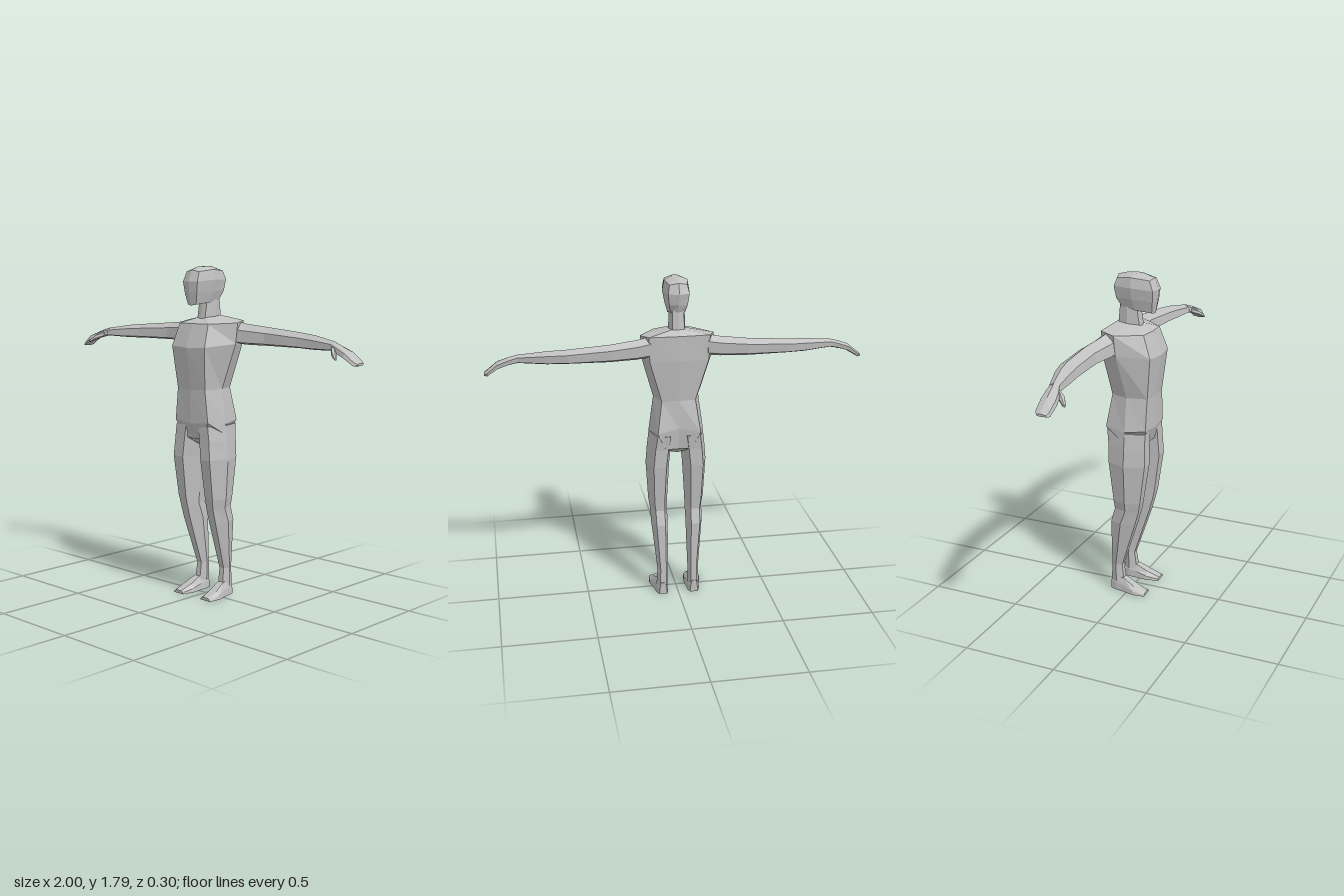
import * as THREE from 'three';

// Skin a list of equal-length point rings, with fan caps at both ends, faceted.
function loft(rings) {
  const tris = [];
  const n = rings[0].length;
  for (let i = 0; i < rings.length - 1; i++) {
    for (let j = 0; j < n; j++) {
      const k = (j + 1) % n;
      const a = rings[i][j], b = rings[i][k], c = rings[i + 1][k], d = rings[i + 1][j];
      tris.push([a, b, c], [a, c, d]);
    }
  }
  const cap = (ring, flip) => {
    const mid = [0, 1, 2].map(c => ring.reduce((s, p) => s + p[c], 0) / n);
    ring.forEach((p, j) => {
      const q = ring[(j + 1) % n];
      tris.push(flip ? [mid, q, p] : [mid, p, q]);
    });
  };
  cap(rings[0], true);
  cap(rings[rings.length - 1], false);

  // Signed volume tells whether the faces point inward
  const volume = tris.reduce((s, [a, b, c]) => s
    + a[0] * (b[1] * c[2] - b[2] * c[1])
    + a[1] * (b[2] * c[0] - b[0] * c[2])
    + a[2] * (b[0] * c[1] - b[1] * c[0]), 0);
  if (volume < 0) tris.forEach(t => t.reverse());

  const geo = new THREE.BufferGeometry();
  geo.setAttribute('position', new THREE.Float32BufferAttribute(tris.flat(2), 3));
  geo.computeVertexNormals();
  return geo;
}

// Complete a half ring (front centre to back centre) by mirroring in x
function mirrorRing(half) {
  const other = half.slice(1, -1).reverse().map(([x, y, z]) => [-x, y, z]);
  return [...half, ...other];
}

// Horizontal six-sided leg section
function legRing([y, front, back, inner, outer, mid]) {
  const inset = (outer - inner) * 0.24;
  return [
    [outer - inset, y, front], [outer, y, mid], [outer - inset, y, back],
    [inner + inset, y, back], [inner, y, mid], [inner + inset, y, front],
  ];
}

// Upright six-sided arm section
function armRing([x, top, bottom, back, front]) {
  const h = top - bottom, d = front - back;
  return [
    [x, top, back + d * 0.4], [x, top - h * 0.3, front - d * 0.08],
    [x, bottom + h * 0.12, front], [x, bottom, back + d * 0.5],
    [x, bottom + h * 0.2, back + d * 0.06], [x, top - h * 0.25, back],
  ];
}

export function createModel() {
  const model = new THREE.Group();
  model.name = 'figure';
  const skin = new THREE.MeshStandardMaterial({ color: 0xc0c0c0, flatShading: true });
  skin.name = 'plain grey';

  const add = (name, rings, parent = model) => {
    const mesh = new THREE.Mesh(loft(rings), skin);
    mesh.name = name;
    parent.add(mesh);
  };

  // Torso, from the neck base down to the crotch
  add('torso', [
    [[0, 1.515, 0.035], [0.03, 1.52, 0.03], [0.045, 1.525, -0.03], [0.035, 1.53, -0.085], [0, 1.53, -0.095]],
    [[0, 1.49, 0.1], [0.105, 1.49, 0.09], [0.195, 1.495, -0.04], [0.16, 1.505, -0.125], [0, 1.505, -0.13]],
    [[0, 1.365, 0.147], [0.12, 1.37, 0.133], [0.19, 1.385, -0.03], [0.155, 1.37, -0.118], [0, 1.37, -0.125]],
    [[0, 1.14, 0.118], [0.1, 1.145, 0.11], [0.122, 1.145, 0], [0.09, 1.145, -0.095], [0, 1.145, -0.1]],
    [[0, 0.96, 0.115], [0.12, 0.97, 0.108], [0.148, 0.96, 0], [0.115, 0.97, -0.122], [0, 0.99, -0.105]],
    [[0, 0.875, 0.085], [0.055, 0.88, 0.09], [0.152, 0.9, 0], [0.07, 0.875, -0.105], [0, 0.87, -0.09]],
    [[0, 0.835, 0.03], [0.03, 0.84, 0.03], [0.045, 0.85, 0], [0.03, 0.84, -0.05], [0, 0.835, -0.05]],
  ].map(mirrorRing));

  // Neck
  add('neck', [
    [[0, 1.5, 0.04], [0.028, 1.5, 0.036], [0.045, 1.51, -0.03], [0.032, 1.515, -0.085], [0, 1.515, -0.092]],
    [[0, 1.63, 0.02], [0.028, 1.63, 0.015], [0.042, 1.63, -0.03], [0.03, 1.63, -0.075], [0, 1.63, -0.083]],
  ].map(mirrorRing));

  // Head, from the jaw up to the crown
  add('head', [
    [[0, 1.585, 0.112], [0.03, 1.59, 0.103], [0.042, 1.6, 0.01], [0.038, 1.615, -0.065], [0, 1.62, -0.085]],
    [[0, 1.65, 0.124], [0.044, 1.65, 0.112], [0.06, 1.66, 0], [0.048, 1.66, -0.09], [0, 1.66, -0.1]],
    [[0, 1.71, 0.13], [0.053, 1.71, 0.117], [0.071, 1.72, 0], [0.055, 1.72, -0.1], [0, 1.72, -0.115]],
    [[0, 1.77, 0.106], [0.045, 1.762, 0.096], [0.061, 1.773, 0], [0.046, 1.765, -0.085], [0, 1.775, -0.098]],
    [[0, 1.79, 0.05], [0.015, 1.788, 0.04], [0.02, 1.79, 0], [0.015, 1.788, -0.03], [0, 1.79, -0.04]],
  ].map(mirrorRing));

  // Limbs are described on the left and mirrored to the right
  const leg = [
    [0.95, 0.105, -0.115, 0.012, 0.148, 0],
    [0.87, 0.106, -0.104, 0.024, 0.158, 0],
    [0.77, 0.11, -0.1, 0.035, 0.166, 0],
    [0.55, 0.08, -0.075, 0.048, 0.153, 0],
    [0.5, 0.07, -0.07, 0.05, 0.144, 0],
    [0.42, 0.048, -0.094, 0.05, 0.142, -0.03],
    [0.15, -0.038, -0.098, 0.055, 0.115, -0.07],
    [0.05, -0.025, -0.1, 0.054, 0.12, -0.065],
  ].map(legRing);

  // Foot sections run from heel to toe: z, top, inner x, outer x
  const foot = [
    [-0.102, 0.07, 0.065, 0.11], [-0.07, 0.08, 0.055, 0.122],
    [-0.02, 0.072, 0.053, 0.13], [0.04, 0.042, 0.05, 0.146], [0.11, 0.016, 0.065, 0.138],
  ].map(([z, top, a, b]) => [
    [a, 0, z], [a + 0.004, top * 0.5, z], [a + (b - a) * 0.25, top, z],
    [b - (b - a) * 0.25, top, z], [b - 0.004, top * 0.5, z], [b, 0, z],
  ]);

  const arm = [
    [0.15, 1.5, 1.385, -0.13, -0.025],
    [0.22, 1.488, 1.38, -0.137, -0.035],
    [0.36, 1.475, 1.38, -0.15, -0.055],
    [0.58, 1.458, 1.38, -0.143, -0.045],
    [0.68, 1.45, 1.378, -0.12, -0.035],
    [0.83, 1.428, 1.383, -0.07, -0.018],
  ].map(armRing);

  const hand = [
    [0.82, 1.43, 1.384, -0.07, -0.018],
    [0.87, 1.415, 1.372, -0.066, 0.005],
    [0.93, 1.392, 1.352, -0.062, 0.02],
    [0.985, 1.347, 1.318, -0.062, 0.014],
    [1.0, 1.335, 1.322, -0.05, 0.004],
  ].map(armRing);

  const thumb = [
    [0.835, 1.41, 1.38, -0.035, -0.008],
    [0.865, 1.395, 1.365, -0.012, 0.03],
    [0.89, 1.372, 1.35, 0.02, 0.046],
    [0.902, 1.358, 1.345, 0.035, 0.048],
  ].map(armRing);

  const limbs = { Leg: leg, Foot: foot, Arm: arm, Hand: hand, Thumb: thumb };
  for (const [side, sign] of [['left', 1], ['right', -1]]) {
    const group = new THREE.Group();
    group.name = side + 'Limbs';
    model.add(group);
    for (const [name, rings] of Object.entries(limbs)) {
      add(side + name, rings.map(r => r.map(([x, y, z]) => [x * sign, y, z])), group);
    }
  }
  return model;
}
